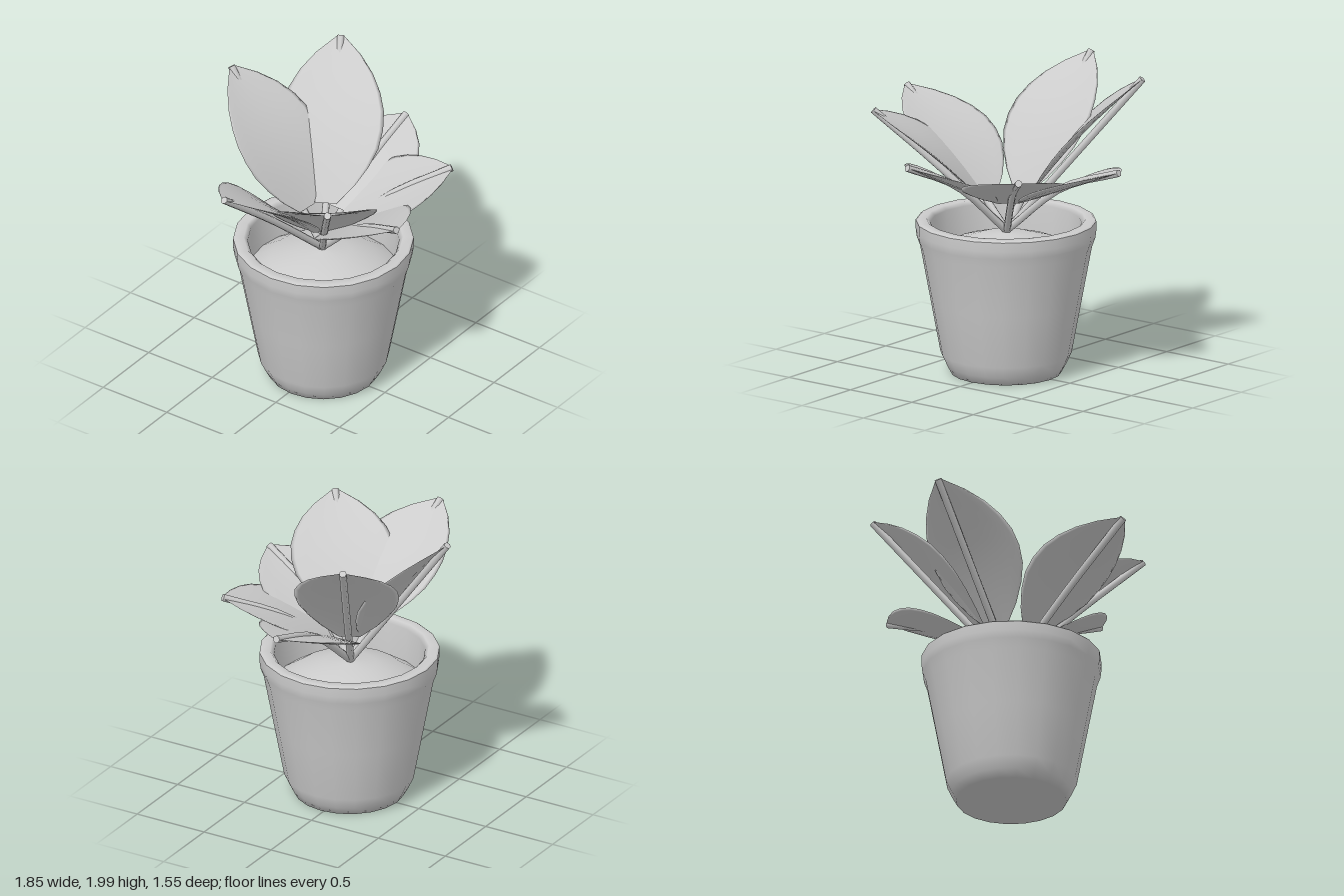
import * as THREE from 'three';

const clay = new THREE.MeshStandardMaterial({ color: 0xcccccc, side: THREE.DoubleSide });
clay.name = 'light grey';

function part(name, geometry) {
  const mesh = new THREE.Mesh(geometry, clay);
  mesh.name = name;
  return mesh;
}

function lathe(name, points, sides) {
  return part(name, new THREE.LatheGeometry(points.map(([r, y]) => new THREE.Vector2(r, y)), sides));
}

// Where all stems meet
const ROOT = new THREE.Vector3(-0.005, 0.93, 0.012);

// Half width of a leaf from its base (0) to its tip (1)
const OUTLINE = [0.07, 0.18, 0.26, 0.315, 0.335, 0.33, 0.295, 0.235, 0.145, 0.02];

// Lens-shaped blade: closed cross-sections lofted from base to tip in the local yz plane
function bladeGeometry(base, tip, bow) {
  const sides = 16, rows = OUTLINE.length - 1;
  const axis = tip.clone().sub(base).normalize();
  const up = new THREE.Vector3(0, axis.z, -axis.y);
  const positions = [], index = [];
  for (let i = 0; i <= rows; i++) {
    const t = i / rows, swell = Math.sin(Math.PI * t);
    const centre = base.clone().lerp(tip, t).addScaledVector(up, bow * swell);
    for (let j = 0; j < sides; j++) {
      const a = (j / sides) * Math.PI * 2;
      const s = Math.cos(a);
      const lift = (0.035 * s * s + 0.014 * Math.sin(a)) * swell;
      const p = centre.clone().addScaledVector(up, lift);
      positions.push(s * OUTLINE[i], p.y, p.z);
      if (i < rows) {
        const k = i * sides + j, n = i * sides + ((j + 1) % sides);
        index.push(k, k + sides, n, n, k + sides, n + sides);
      }
    }
  }
  const g = new THREE.BufferGeometry();
  g.setAttribute('position', new THREE.Float32BufferAttribute(positions, 3));
  g.setIndex(index);
  g.computeVertexNormals();
  return g;
}

// One leaf with its stem, pointing along local +z and turned to its place
function leaf([x, y, z, stemBow, baseLift, bladeBow]) {
  const group = new THREE.Group();
  group.name = 'leaf';
  const dx = x - ROOT.x, dz = z - ROOT.z;
  const root = new THREE.Vector3();
  const tip = new THREE.Vector3(0, y - 0.015 - ROOT.y, Math.hypot(dx, dz));
  const middle = tip.clone().multiplyScalar(0.5);
  middle.y += stemBow;
  const curve = new THREE.CatmullRomCurve3([root, middle, tip]);
  group.add(part('stem', new THREE.TubeGeometry(curve, 8, 0.024, 7)));

  const cap = part('stemEnd', new THREE.CircleGeometry(0.024, 7));
  cap.position.copy(tip);
  cap.lookAt(tip.clone().add(curve.getTangent(1)));
  group.add(cap);

  const base = curve.getPoint(0.17);
  base.y += baseLift;
  group.add(part('blade', bladeGeometry(base, tip, bladeBow)));
  group.position.copy(ROOT);
  group.rotation.y = Math.atan2(dx, dz);
  return group;
}

export function createModel() {
  const model = new THREE.Group();
  model.name = 'pottedPlant';

  const pot = new THREE.Group();
  pot.name = 'pot';
  pot.position.set(-0.005, 0, 0.02);
  // Tapered wall, closed smoothly underneath
  pot.add(lathe('potWall', [
    [0, 0], [0.355, 0], [0.385, 0.055], [0.42, 0.13], [0.485, 0.48], [0.55, 0.83],
    [0.572, 0.89], [0.578, 0.94], [0.578, 1.0],
  ], 20));
  // Thick rounded rim and inner wall
  pot.add(lathe('potRim', [
    [0.578, 1.0], [0.565, 1.01], [0.51, 1.01], [0.485, 0.985], [0.475, 0.7],
  ], 20));
  // Mounded soil
  pot.add(lathe('soil', [[0.48, 0.76], [0.34, 0.855], [0.17, 0.905], [0, 0.925]], 20));
  model.add(pot);

  // Leaf tips (x, y, z), stem bow, blade base lift and blade bow
  const leaves = [
    [0.075, 1.99, -0.76, 0.0, 0.06, 0.045],
    [0.775, 1.99, -0.40, 0.0, 0.06, 0.045],
    [0.91, 1.475, 0.015, 0.095, 0.09, 0.01],
    [0.57, 1.475, 0.62, 0.085, 0.09, 0.01],
    [-0.23, 1.475, 0.755, 0.085, 0.09, 0.01],
    [-0.68, 1.74, 0.535, 0.02, 0.07, 0.045],
    [-0.915, 1.74, -0.11, 0.02, 0.07, 0.045],
  ];
  leaves.forEach((spec) => model.add(leaf(spec)));
  return model;
}
